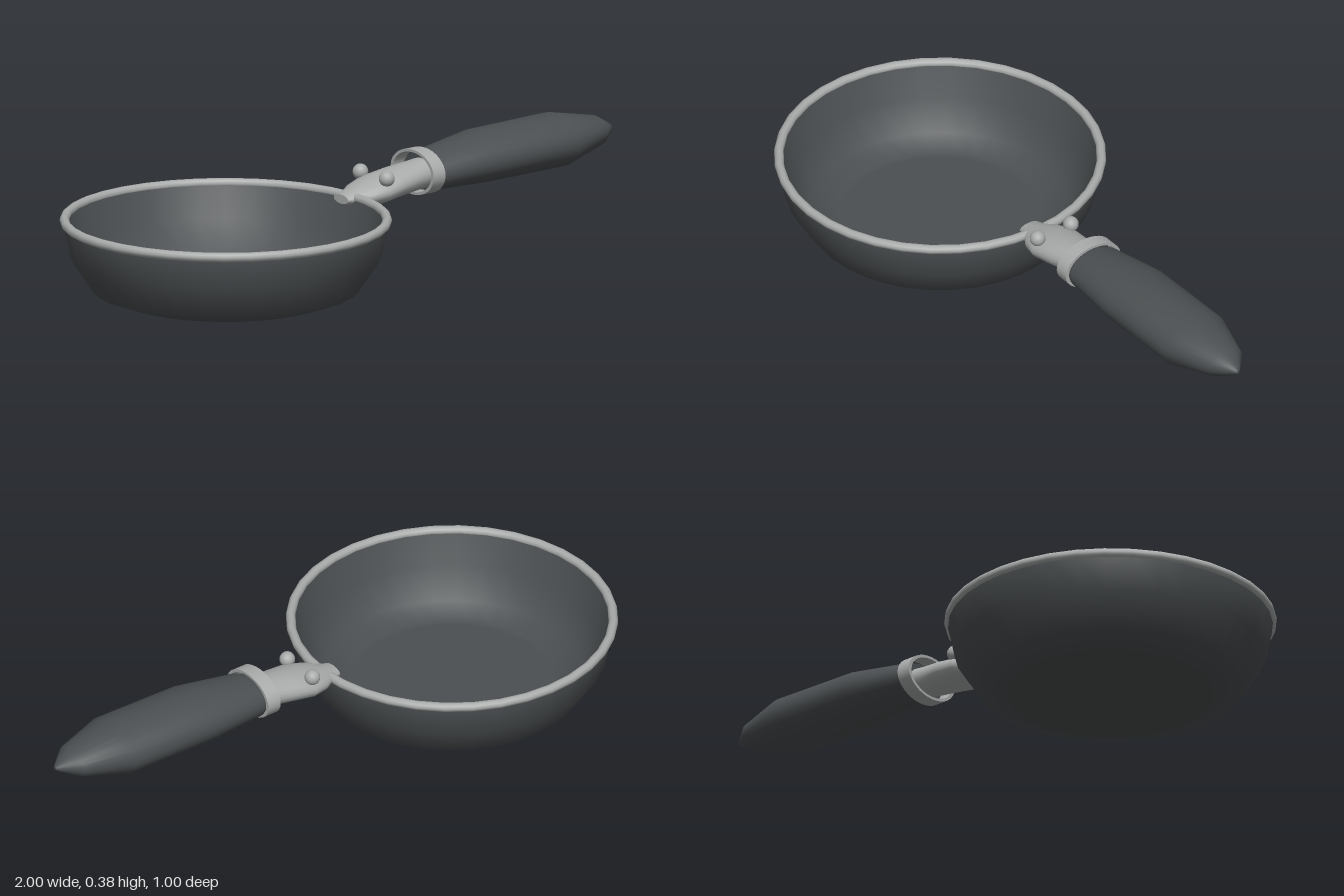
import * as THREE from 'three';

// Closed loft along x through elliptical sections [x, centreY, halfHeight, halfWidth]
function loft(sections, sides = 24) {
  const first = sections[0], last = sections[sections.length - 1];
  // Repeated end rings keep the cap edges crisp
  const rings = [[first[0], first[1], 0, 0], first, ...sections, last, [last[0], last[1], 0, 0]];
  const positions = [], index = [];
  rings.forEach(([x, y, h, w], r) => {
    for (let i = 0; i < sides; i++) {
      const a = (i / sides) * Math.PI * 2;
      positions.push(x, y + h * Math.cos(a), w * Math.sin(a));
      if (r === rings.length - 1) continue;
      const p = r * sides + i, q = r * sides + (i + 1) % sides;
      index.push(p, q, p + sides, q, q + sides, p + sides);
    }
  });
  const geometry = new THREE.BufferGeometry();
  geometry.setAttribute('position', new THREE.Float32BufferAttribute(positions, 3));
  geometry.setIndex(index);
  geometry.computeVertexNormals();
  return geometry;
}

const profile = (points) => points.map(([x, y]) => new THREE.Vector2(x, y));

export function createModel() {
  const model = new THREE.Group();
  model.name = 'fryingPan';

  const dark = new THREE.MeshStandardMaterial({ color: 0x4b4f51 });
  dark.name = 'dark coating';
  const metal = new THREE.MeshStandardMaterial({ color: 0xa9abab });
  metal.name = 'brushed metal';

  const add = (name, geometry, material, x = 0, y = 0, z = 0) => {
    const mesh = new THREE.Mesh(geometry, material);
    mesh.name = name;
    mesh.position.set(x, y, z);
    model.add(mesh);
    return mesh;
  };

  // Bowl: outer wall up, over the lip, and back down the inside
  add('bowl', new THREE.LatheGeometry(profile([
    [0, 0], [0.31, 0], [0.325, 0.002], [0.402, 0.03], [0.468, 0.13], [0.49, 0.235],
    [0.472, 0.235], [0.45, 0.135], [0.39, 0.047], [0.315, 0.022], [0.3, 0.02], [0, 0.02],
  ]), 36), dark, -0.5);

  // Rolled rim
  const rim = add('rim', new THREE.TorusGeometry(0.485, 0.0145, 10, 36), metal, -0.5, 0.239);
  rim.rotation.x = Math.PI / 2;

  // Neck joining the bowl to the handle
  add('neck', loft([
    [-0.052, 0.236, 0.014, 0.034],
    [-0.015, 0.236, 0.025, 0.045],
    [0.02, 0.24, 0.034, 0.068],
    [0.075, 0.248, 0.042, 0.083],
    [0.15, 0.259, 0.044, 0.074],
    [0.225, 0.267, 0.045, 0.06],
    [0.285, 0.274, 0.045, 0.058],
  ]), metal);

  // Rivets on either side of the neck
  for (const side of [-1, 1]) {
    add(side > 0 ? 'frontRivet' : 'backRivet',
      new THREE.SphereGeometry(0.024, 16, 10), metal, 0.075, 0.291, side * 0.062);
  }

  // Open oval collar, with flat faces split so its edges stay sharp
  const collar = new THREE.Group();
  collar.name = 'collar';
  const outer = 0.102, inner = 0.09, half = 0.023;
  const corners = [[outer, -half], [outer, half], [inner, half], [inner, -half]];
  corners.forEach((corner, i) => {
    const face = new THREE.Mesh(
      new THREE.LatheGeometry(profile([corner, corners[(i + 1) % 4]]), 32), metal);
    face.name = ['collarOutside', 'collarHandleEdge', 'collarInside', 'collarNeckEdge'][i];
    collar.add(face);
  });
  collar.position.set(0.248, 0.278, 0);
  collar.rotation.z = -Math.PI / 2;
  collar.scale.x = 0.68;
  model.add(collar);

  // Grip tapering to a point
  add('handle', loft([
    [0.26, 0.275, 0.056, 0.084],
    [0.28, 0.276, 0.061, 0.093],
    [0.48, 0.29, 0.079, 0.118],
    [0.78, 0.295, 0.081, 0.116],
    [0.935, 0.3, 0.045, 0.064],
    [0.99, 0.3, 0.013, 0.016],
    [1.0, 0.3, 0.005, 0.006],
  ], 28), dark);

  return model;
}
